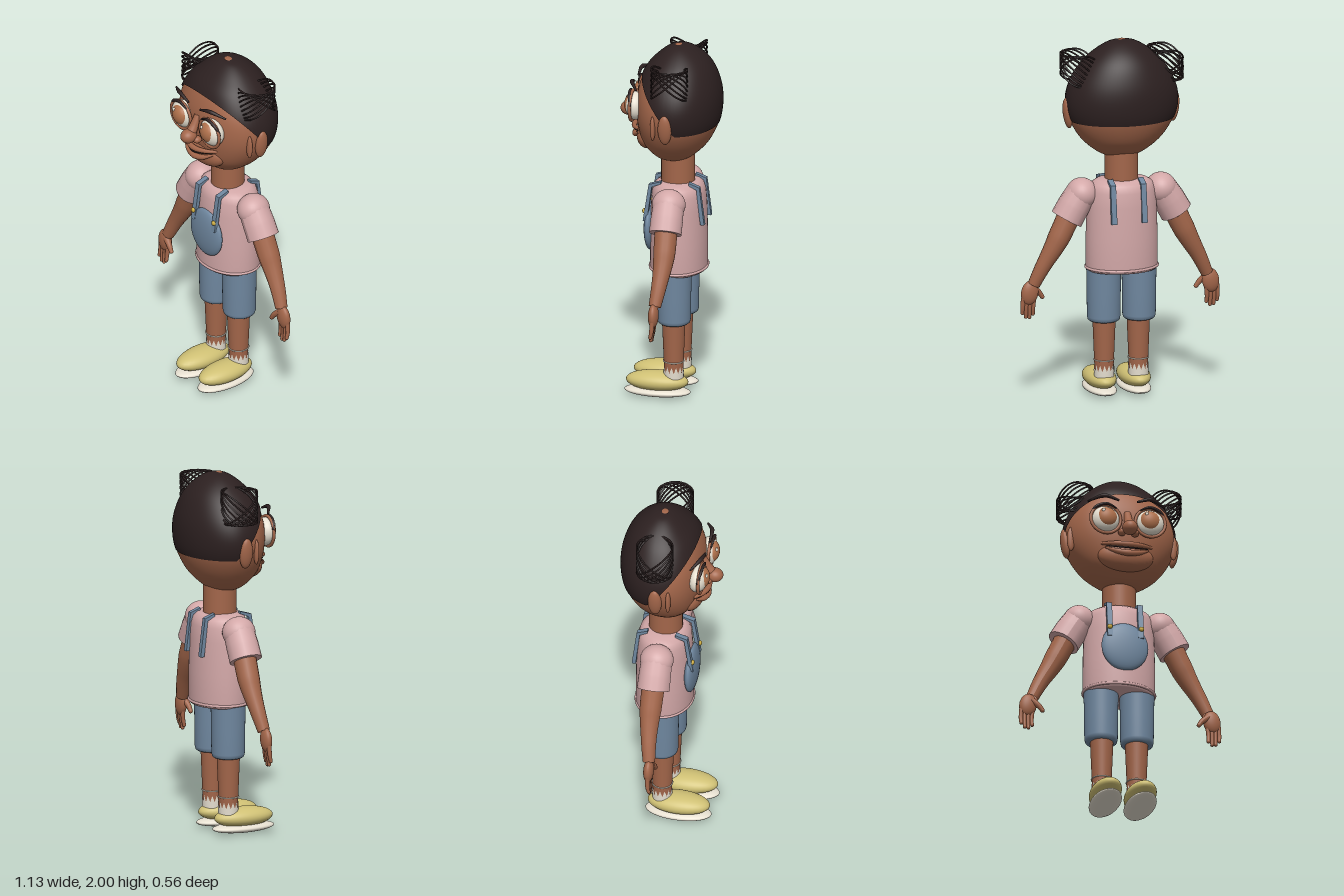
import * as THREE from 'three';
import { ParametricGeometry } from 'three/addons/geometries/ParametricGeometry.js';

const V = (x, y, z) => new THREE.Vector3(x, y, z);
const paint = (name, color) => {
  const m = new THREE.MeshStandardMaterial({ color, side: THREE.DoubleSide });
  m.name = name;
  return m;
};

// Head cross-sections: height, half width, front z, back z
const rows = [
  [1.345, 0.002, -0.02, -0.024], [1.352, 0.085, 0.05, -0.09], [1.39, 0.155, 0.1, -0.15],
  [1.46, 0.23, 0.148, -0.215], [1.56, 0.288, 0.172, -0.262], [1.66, 0.305, 0.178, -0.276],
  [1.76, 0.283, 0.168, -0.268], [1.86, 0.224, 0.13, -0.235], [1.93, 0.155, 0.07, -0.185],
  [1.98, 0.077, 0.005, -0.115], [1.995, 0.002, -0.048, -0.052],
];
const spline = (f) => new THREE.CatmullRomCurve3(rows.map(f), false, 'catmullrom', 0.5);
const widths = spline((r) => V(r[0], r[1], 0));
const depths = spline((r) => V(r[2], r[3], 0));

function headPoint(angle, t, grow, out) {
  const w = widths.getPoint(t), d = depths.getPoint(t);
  const c = Math.cos(angle), s = Math.sin(angle), p = s > 0 ? 0.9 : 1;
  const mid = (d.x + d.y) / 2, half = (d.x - d.y) / 2;
  return out.set(w.y * grow * Math.sign(c) * Math.abs(c) ** p, w.x + (grow - 1) * 0.25,
    mid + half * grow * Math.sign(s) * Math.abs(s) ** p);
}

// Lowest section of the hair at an angle: level at the back, rising to the forehead
function hairline(angle, grow) {
  let lo = 0, hi = 1;
  const p = V(0, 0, 0);
  for (let i = 0; i < 40; i++) {
    const t = (lo + hi) / 2;
    headPoint(angle, t, grow, p);
    if (p.y < 1.56 + Math.max(0, p.z + 0.08) * 1.25) lo = t; else hi = t;
  }
  return lo;
}

// Tube whose radius follows a list of radii along the path
function taperTube(points, radii, steps = 20) {
  const curve = new THREE.CatmullRomCurve3(points);
  const g = new THREE.TubeGeometry(curve, steps, 1, 16);
  const pos = g.attributes.position, v = V(0, 0, 0);
  for (let i = 0; i < pos.count; i++) {
    const u = Math.floor(i / 17) / steps, k = u * (radii.length - 1);
    const j = Math.min(Math.floor(k), radii.length - 2);
    const r = THREE.MathUtils.lerp(radii[j], radii[j + 1], k - j), c = curve.getPointAt(u);
    v.fromBufferAttribute(pos, i).sub(c).multiplyScalar(r).add(c);
    pos.setXYZ(i, v.x, v.y, v.z);
  }
  g.computeVertexNormals();
  return g;
}

const lathe = (pts) => new THREE.LatheGeometry(pts.map((p) => new THREE.Vector2(...p)), 40);

export function createModel() {
  const model = new THREE.Group();
  const skin = paint('skin', 0xa3664a), pink = paint('pink shirt', 0xd3a8a8);
  const denim = paint('denim', 0x6f879f), hair = paint('hair', 0x2c2020);
  const yellow = paint('yellow', 0xcfc074), cream = paint('cream', 0xe6dfd0);
  const iris = paint('iris', 0xb0714c), gold = paint('gold', 0xc9a83c);

  const add = (name, geo, mat, x = 0, y = 0, z = 0) => {
    const m = new THREE.Mesh(geo, mat);
    m.name = name;
    m.position.set(x, y, z);
    model.add(m);
    return m;
  };
  const ball = (name, mat, x, y, z, rx, ry = rx, rz = rx) => {
    const m = add(name, new THREE.SphereGeometry(1, 32, 20), mat, x, y, z);
    m.scale.set(rx, ry, rz);
    return m;
  };
  const limb = (name, mat, pts, radii) => add(name, taperTube(pts, radii), mat);

  // Head, hair cap and crown spot
  const turn = (u) => -2 * Math.PI * u;
  add('head', new ParametricGeometry((u, v, o) => headPoint(turn(u), v, 1, o), 64, 40), skin);
  add('hairCap', new ParametricGeometry((u, v, o) => {
    const a = turn(u), low = hairline(a, 1.025);
    headPoint(a, low + (1 - low) * v, 1.025, o);
  }, 72, 28), hair);
  ball('crownSpot', skin, 0, 1.996, -0.045, 0.024, 0.006, 0.02);

  // Wire hair puffs: tilted loops, the same way round on both sides
  for (const cx of [-0.245, 0.245]) {
    for (let k = 0; k < 9; k++) {
      const phase = (k / 8 - 0.5) * Math.PI, pts = [];
      for (let i = 0; i < 32; i++) {
        const t = (i / 32) * Math.PI * 2;
        pts.push(V(cx + 0.098 * Math.cos(t), 1.852 + 0.086 * Math.cos(t + phase), -0.045 + 0.098 * Math.sin(t)));
      }
      add('hairLoop', new THREE.TubeGeometry(new THREE.CatmullRomCurve3(pts, true), 48, 0.005, 6, true), hair);
    }
  }

  // Nose and mouth
  ball('noseTip', skin, 0, 1.61, 0.232, 0.042, 0.04, 0.048);
  limb('noseBridge', skin, [V(0, 1.72, 0.165), V(0, 1.66, 0.195), V(0, 1.61, 0.225)], [0.02, 0.024, 0.032]);
  ball('muzzle', skin, 0, 1.485, 0.115, 0.155, 0.085, 0.068);
  limb('upperLip', skin, [V(-0.14, 1.54, 0.145), V(-0.07, 1.53, 0.185), V(0, 1.525, 0.2), V(0.07, 1.53, 0.185), V(0.14, 1.54, 0.145)],
    [0.008, 0.013, 0.016, 0.013, 0.008]);
  limb('lowerLip', skin, [V(-0.12, 1.515, 0.155), V(-0.06, 1.485, 0.185), V(0, 1.475, 0.195), V(0.06, 1.485, 0.185), V(0.12, 1.515, 0.155)],
    [0.005, 0.014, 0.018, 0.014, 0.005]);
  limb('mouthLine', hair, [V(-0.115, 1.522, 0.161), V(0, 1.503, 0.203), V(0.115, 1.522, 0.161)], [0.003, 0.004, 0.003]);

  // Neck and shirt body
  add('neck', new THREE.CylinderGeometry(0.092, 0.092, 0.24, 32), skin, 0, 1.3, -0.04);
  const shirt = add('shirt', lathe([[0, 0.715], [0.19, 0.715], [0.2, 0.73], [0.199, 0.9], [0.194, 1.08],
    [0.186, 1.16], [0.17, 1.2], [0.14, 1.218], [0.085, 1.225]]), pink, 0, 0, -0.045);
  shirt.scale.z = 0.78;
  const hem = add('hem', new THREE.TorusGeometry(0.198, 0.008, 10, 48).rotateX(Math.PI / 2), pink, 0, 0.732, -0.045);
  hem.scale.z = 0.79;

  // Bib
  ball('bib', denim, 0, 0.95, 0.107, 0.13, 0.14, 0.035);

  // Strap side profiles as z, y points
  const strapFront = [[0.135, 1.0], [0.102, 1.212], [0.035, 1.232], [0.035, 1.218], [0.085, 1.198], [0.112, 1.0]];
  const strapBack = [[-0.207, 1.0], [-0.18, 1.212], [-0.12, 1.235], [-0.12, 1.22], [-0.163, 1.198], [-0.185, 1.0]];

  for (const s of [1, -1]) {
    const P = (x, y, z) => V(s * x, y, z);

    // Eyes
    ball('eyeball', cream, s * 0.124, 1.67, 0.168, 0.08, 0.078, 0.055);
    ball('iris', iris, s * 0.12, 1.675, 0.19, 0.058, 0.06, 0.042);
    ball('eyeGlint', cream, s * 0.12 - 0.022, 1.706, 0.22, 0.01, 0.012, 0.007);
    add('eyeRim', new THREE.TorusGeometry(0.083, 0.009, 10, 40), skin, s * 0.124, 1.67, 0.186);
    limb('eyelash', hair, [P(0.065, 1.735, 0.196), P(0.12, 1.757, 0.198), P(0.18, 1.735, 0.192), P(0.212, 1.69, 0.18)],
      [0.004, 0.008, 0.009, 0.004]);
    limb('eyebrow', hair, [P(0.05, 1.785, 0.192), P(0.13, 1.808, 0.188), P(0.215, 1.785, 0.145)], [0.006, 0.012, 0.005]);

    // Nostrils and ears
    ball('nostril', skin, s * 0.036, 1.592, 0.2, 0.022, 0.02, 0.026);
    ball('ear', skin, s * 0.302, 1.6, -0.032, 0.025, 0.085, 0.038).rotation.z = -s * 0.12;
    ball('earRidge', skin, s * 0.285, 1.6, 0.038, 0.022, 0.07, 0.014);

    // Straps and buttons
    for (const profile of [strapFront, strapBack]) {
      const g = new THREE.ExtrudeGeometry(new THREE.Shape(profile.map((p) => new THREE.Vector2(...p))),
        { depth: 0.03, bevelEnabled: false });
      add('strap', g.rotateY(-Math.PI / 2), denim, s * 0.086 + 0.015);
    }
    ball('button', gold, s * 0.088, 1.055, 0.13, 0.014, 0.014, 0.01);

    // Sleeve
    ball('shoulder', pink, s * 0.225, 1.148, -0.038, 0.086, 0.086, 0.092);
    limb('sleeve', pink, [P(0.225, 1.15, -0.038), P(0.27, 1.08, -0.038), P(0.31, 1.01, -0.038)], [0.085, 0.089, 0.09]);
    const cuff = add('sleeveEnd', new THREE.CircleGeometry(0.09, 32), pink, s * 0.31, 1.01, -0.038);
    cuff.lookAt(s * 0.35, 0.94, -0.038);

    // Arm and hand
    limb('arm', skin, [P(0.29, 1.04, -0.04), P(0.37, 0.88, -0.042), P(0.445, 0.745, -0.032), P(0.49, 0.65, -0.02)],
      [0.064, 0.061, 0.045, 0.034]);
    ball('palm', skin, s * 0.512, 0.605, -0.017, 0.048, 0.068, 0.028).rotation.z = s * 0.15;
    limb('thumb', skin, [P(0.49, 0.63, -0.01), P(0.455, 0.6, 0), P(0.435, 0.573, 0.003)], [0.02, 0.016, 0.012]);
    ball('thumbTip', skin, s * 0.435, 0.573, 0.003, 0.012);
    for (let i = 0; i < 4; i++) {
      const x = 0.488 + i * 0.02, end = [0.475, 0.457, 0.46, 0.482][i];
      limb('finger', skin, [P(x, 0.58, -0.017), P(x + 0.004, 0.52, -0.014), P(x + 0.003, end + 0.01, -0.008)], [0.013, 0.012, 0.01]);
      ball('fingertip', skin, s * (x + 0.003), end + 0.01, -0.008, 0.0102);
    }

    // Shorts leg, bare leg and sock
    add('shortsLeg', lathe([[0, 0.43], [0.078, 0.43], [0.087, 0.437], [0.091, 0.455], [0.093, 0.6], [0.095, 0.74]]),
      denim, s * 0.1, 0, -0.04);
    add('leg', new THREE.CylinderGeometry(0.064, 0.05, 0.34, 32), skin, s * 0.097, 0.28, -0.037);
    add('sockBand', new THREE.TorusGeometry(0.056, 0.0035, 8, 40).rotateX(Math.PI / 2), cream, s * 0.097, 0.21, -0.037);
    const sock = new THREE.CylinderGeometry(0.056, 0.054, 0.1, 28, 1, true), pos = sock.attributes.position;
    for (let i = 0; i < pos.count; i++) if (pos.getY(i) > 0) pos.setY(i, i % 2 ? 0.05 : 0.015);
    add('sock', sock, cream, s * 0.097, 0.135, -0.037);

    // Shoe
    ball('shoe', yellow, s * 0.097, 0.09, 0.055, 0.084, 0.055, 0.173);
    ball('sole', cream, s * 0.097, 0.032, 0.053, 0.083, 0.032, 0.184).scale.y = 0.028;
  }

  // Stand on the ground
  model.updateMatrixWorld(true);
  const low = new THREE.Box3().setFromObject(model, true).min.y;
  model.children.forEach((m) => { m.position.y -= low; });
  return model;
}
